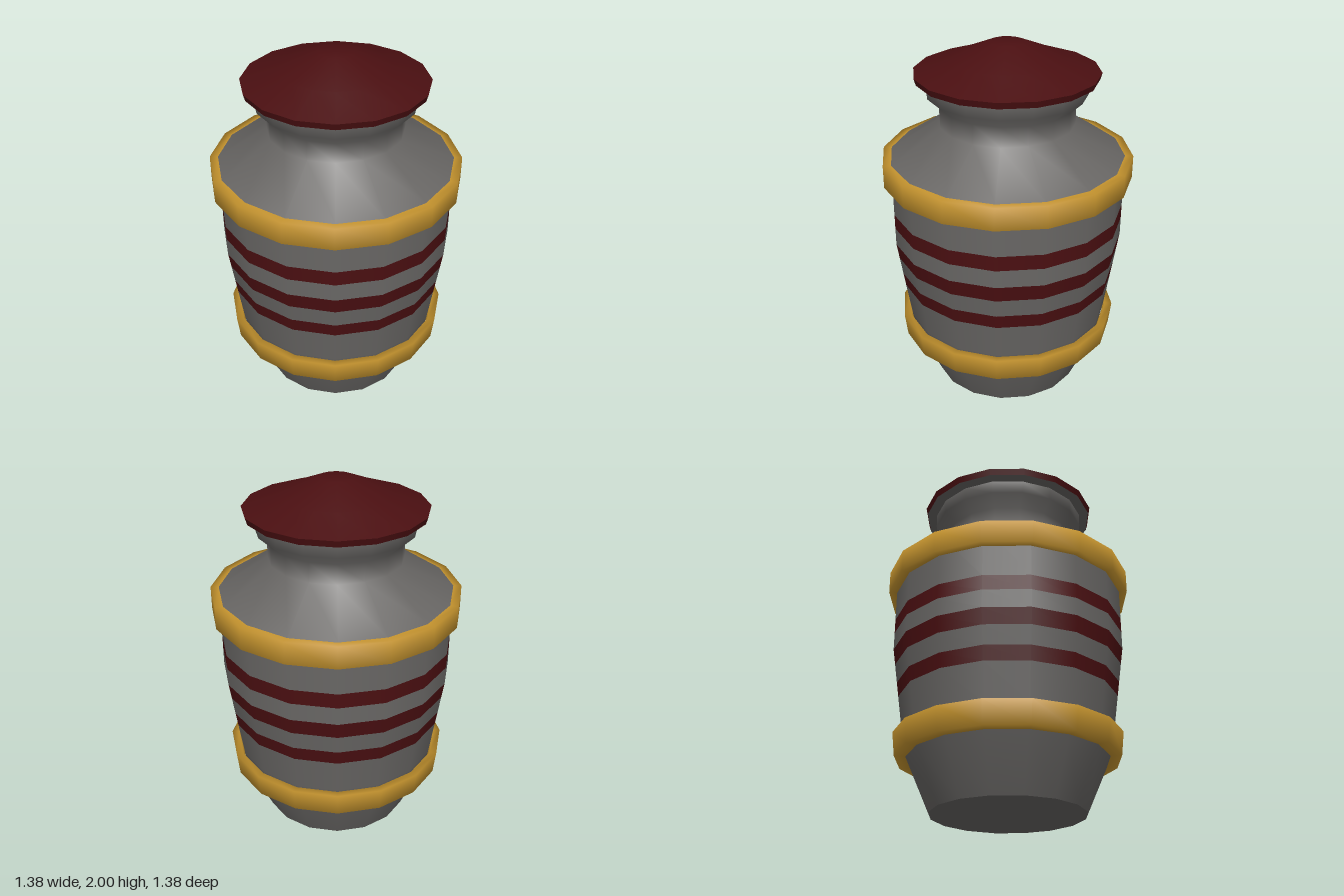
import * as THREE from 'three';

const SIDES = 16;

export function createModel() {
  const urn = new THREE.Group();
  urn.name = 'urn';
  const material = (name, color) => {
    const m = new THREE.MeshStandardMaterial({ color });
    m.name = name;
    return m;
  };
  const grey = material('stone grey', 0x686664);
  const red = material('dark red', 0x4a0f11);
  const gold = material('gold', 0xc8962f);

  // Turn a profile of [radius, height] points, listed from the bottom up
  const turn = (name, points, mat) => {
    const profile = points.map(([r, y]) => new THREE.Vector2(r, y));
    const mesh = new THREE.Mesh(new THREE.LatheGeometry(profile, SIDES), mat);
    mesh.name = name;
    urn.add(mesh);
  };

  // Foot
  turn('base', [[0, 0], [0.42, 0]], grey);
  turn('foot', [[0.42, 0], [0.55, 0.29], [0.575, 0.42]], grey);

  // Belly, cut into alternating plain and painted sections
  const bellyRadius = (y) => 0.645 - 0.07 * Math.max(0, (0.9 - y) / 0.48);
  const cuts = [0.42, 0.625, 0.705, 0.81, 0.9, 1.0, 1.083, 1.38];
  for (let i = 0; i < cuts.length - 1; i++) {
    const painted = i % 2 === 1;
    const section = [cuts[i], cuts[i + 1]].map((y) => [bellyRadius(y), y]);
    turn(painted ? 'bellyStripe' : 'bellySection', section, painted ? red : grey);
  }

  // Shoulder, neck and flared mouth up to the lid's underside
  turn('shoulderAndNeck', [
    [0.645, 1.38], [0.37, 1.56], [0.37, 1.67], [0.435, 1.73], [0.435, 1.805],
  ], grey);
  turn('lidUnderside', [[0.43, 1.805], [0.49, 1.81]].reverse().map(([r, y]) => [r, y]).reverse(), grey);

  // Lid
  turn('lidRim', [[0.49, 1.81], [0.5, 1.845]], red);
  turn('lid', [[0.5, 1.845], [0.3, 1.915], [0.095, 2], [0, 2]], red);

  // Gold bands, closed rings around the body
  turn('upperBand', [
    [0.64, 1.255], [0.69, 1.255], [0.69, 1.38], [0.64, 1.38],
  ], gold);
  turn('lowerBand', [
    [0.55, 0.29], [0.61, 0.29], [0.625, 0.42], [0.585, 0.42], [0.57, 0.38],
  ], gold);

  return urn;
}
